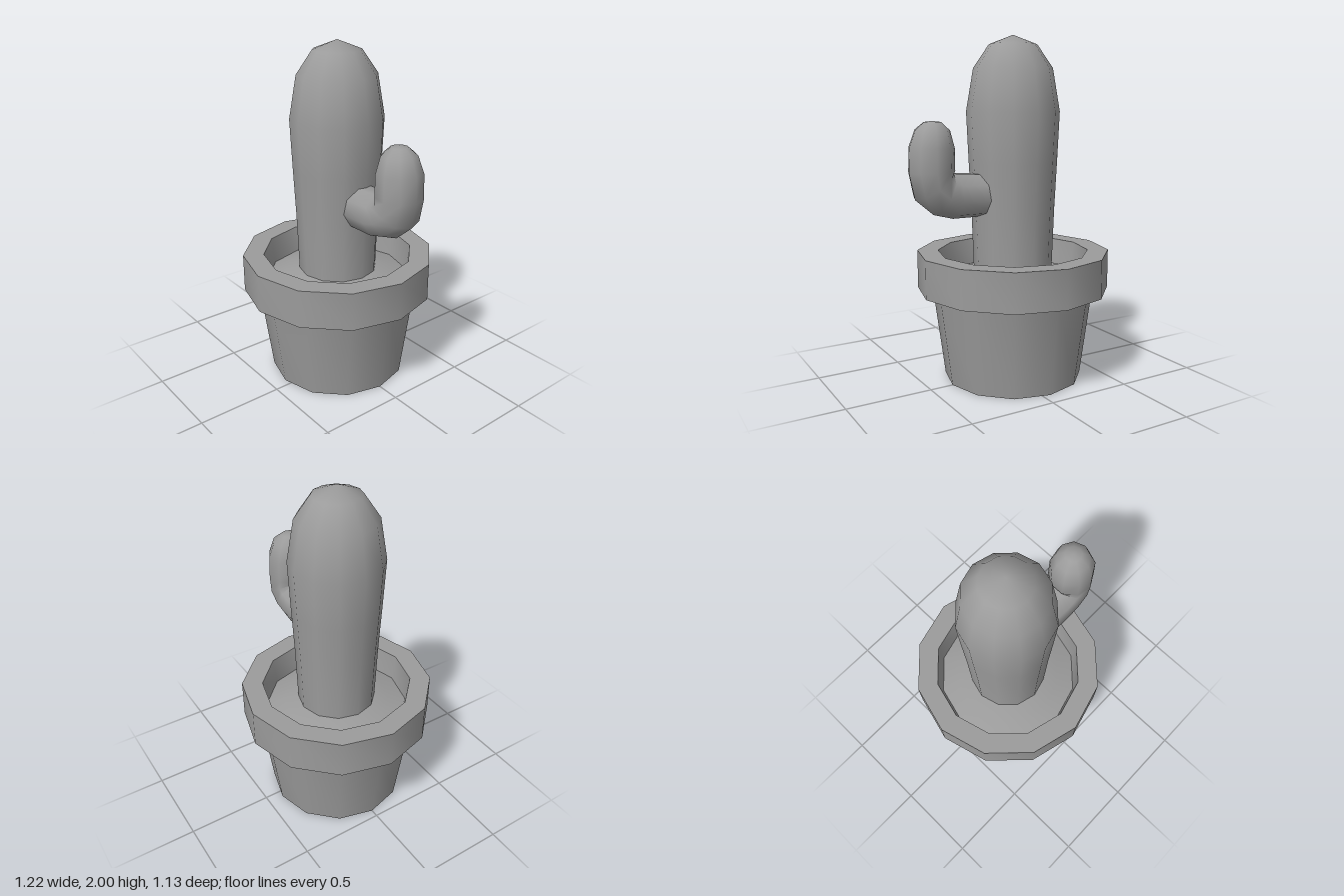
import * as THREE from 'three';
import { toCreasedNormals } from 'three/addons/utils/BufferGeometryUtils.js';

const material = new THREE.MeshStandardMaterial({ color: 0x9b9b9b });

function makeMesh(name, geometry, crease) {
  const mesh = new THREE.Mesh(toCreasedNormals(geometry, crease), material);
  mesh.name = name;
  return mesh;
}

// Twelve-sided turned part from [radius, height] pairs
function turned(name, profile, crease) {
  const points = profile.map(([r, y]) => new THREE.Vector2(r, y));
  return makeMesh(name, new THREE.LatheGeometry(points, 12), crease);
}

// Tube in the xy plane through rings of [x, y, heading in degrees, radius]
function bentTube(rings, sides) {
  const positions = [], indices = [];
  rings.forEach(([x, y, heading, r], i) => {
    const t = THREE.MathUtils.degToRad(heading);
    for (let j = 0; j < sides; j++) {
      const a = (j / sides) * Math.PI * 2;
      const out = r * Math.cos(a);
      positions.push(x + out * Math.sin(t), y - out * Math.cos(t), r * Math.sin(a));
      if (i === rings.length - 1) continue;
      const p = i * sides + j, q = i * sides + ((j + 1) % sides);
      indices.push(p, p + sides, q, q, p + sides, q + sides);
    }
  });
  const geometry = new THREE.BufferGeometry();
  geometry.setAttribute('position', new THREE.Float32BufferAttribute(positions, 3));
  geometry.setIndex(indices);
  return geometry;
}

export function createModel() {
  const model = new THREE.Group();
  model.name = 'pottedCactus';

  // Pot with a thick overhanging rim
  const pot = turned('pot', [
    [0, 0], [0.407, 0], [0.478, 0.532], [0.565, 0.532],
    [0.565, 0.757], [0.443, 0.757], [0.42, 0.59],
  ], 0.7);

  // Gently mounded soil
  const soil = turned('soil', [[0.424, 0.6], [0.32, 0.635], [0.2, 0.665], [0, 0.68]], 0.7);

  // Trunk with a domed top
  const trunk = turned('cactusTrunk', [
    [0.23, 0.62], [0.243, 1.0], [0.257, 1.28], [0.27, 1.57],
    [0.228, 1.815], [0.138, 1.947], [0, 2],
  ], 1.2);

  for (const part of [pot, soil, trunk]) {
    part.position.x = -0.045;
    model.add(part);
  }

  // Arm: out sideways, round the elbow, then up to a rounded tip
  model.add(makeMesh('cactusArm', bentTube([
    [0.08, 1.1, 0, 0.125],
    [0.34, 1.107, 3, 0.13],
    [0.408, 1.126, 26, 0.131],
    [0.464, 1.17, 57, 0.131],
    [0.475, 1.25, 88, 0.131],
    [0.473, 1.38, 92, 0.128],
    [0.467, 1.475, 92, 0.098],
    [0.466, 1.518, 90, 0.048],
    [0.466, 1.524, 90, 0],
  ], 9), 1.5));

  return model;
}
